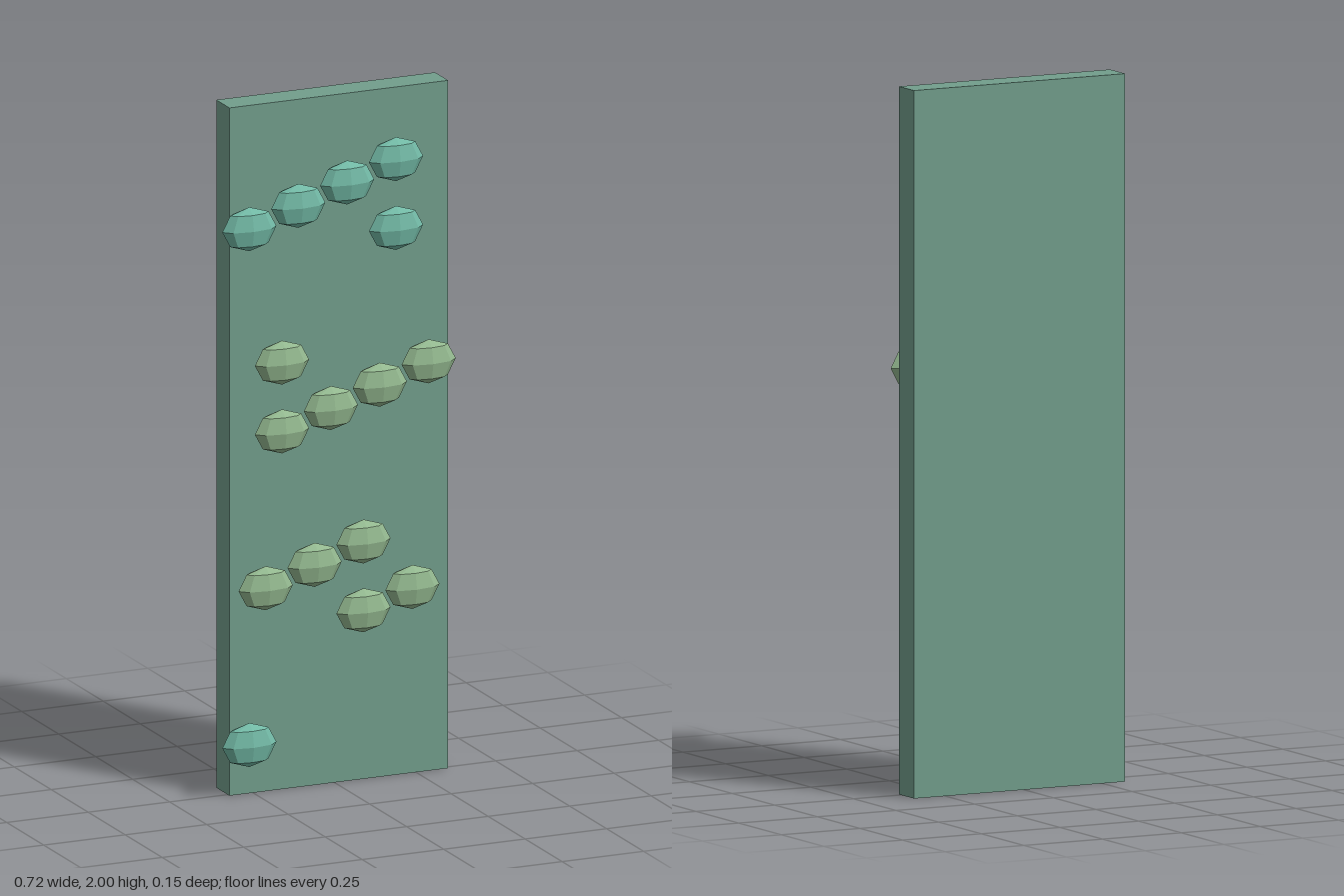
import * as THREE from 'three';

const mat = (color) => new THREE.MeshStandardMaterial({ color, flatShading: true });

export function createModel() {
  const group = new THREE.Group();
  group.name = 'climbingWall';

  // Flat upright panel
  const panel = new THREE.Mesh(new THREE.BoxGeometry(0.671, 2, 0.089), mat(0x729e8c));
  panel.name = 'panel';
  panel.position.set(0.0135, 1, -0.0325);
  group.add(panel);

  // Faceted, flattened holds just in front of the panel
  const holdGeometry = new THREE.SphereGeometry(1, 8, 4);
  holdGeometry.scale(0.083, 0.064, 0.032);
  const teal = mat(0x72b9a5);
  const sage = mat(0x93b88f);

  // Each row: start x, start y, number of holds, material
  const rows = [
    [-0.275, 1.65, 4, teal],
    [0.175, 1.6, 1, teal],
    [-0.175, 1.25, 1, sage],
    [-0.175, 1.05, 4, sage],
    [-0.225, 0.6, 3, sage],
    [0.075, 0.5, 2, sage],
    [-0.275, 0.15, 1, teal],
  ];
  for (const [x, y, count, material] of rows) {
    for (let i = 0; i < count; i++) {
      const hold = new THREE.Mesh(holdGeometry, material);
      hold.name = 'hold';
      hold.position.set(x + 0.15 * i, y + 0.05 * i, 0.043);
      group.add(hold);
    }
  }
  return group;
}
